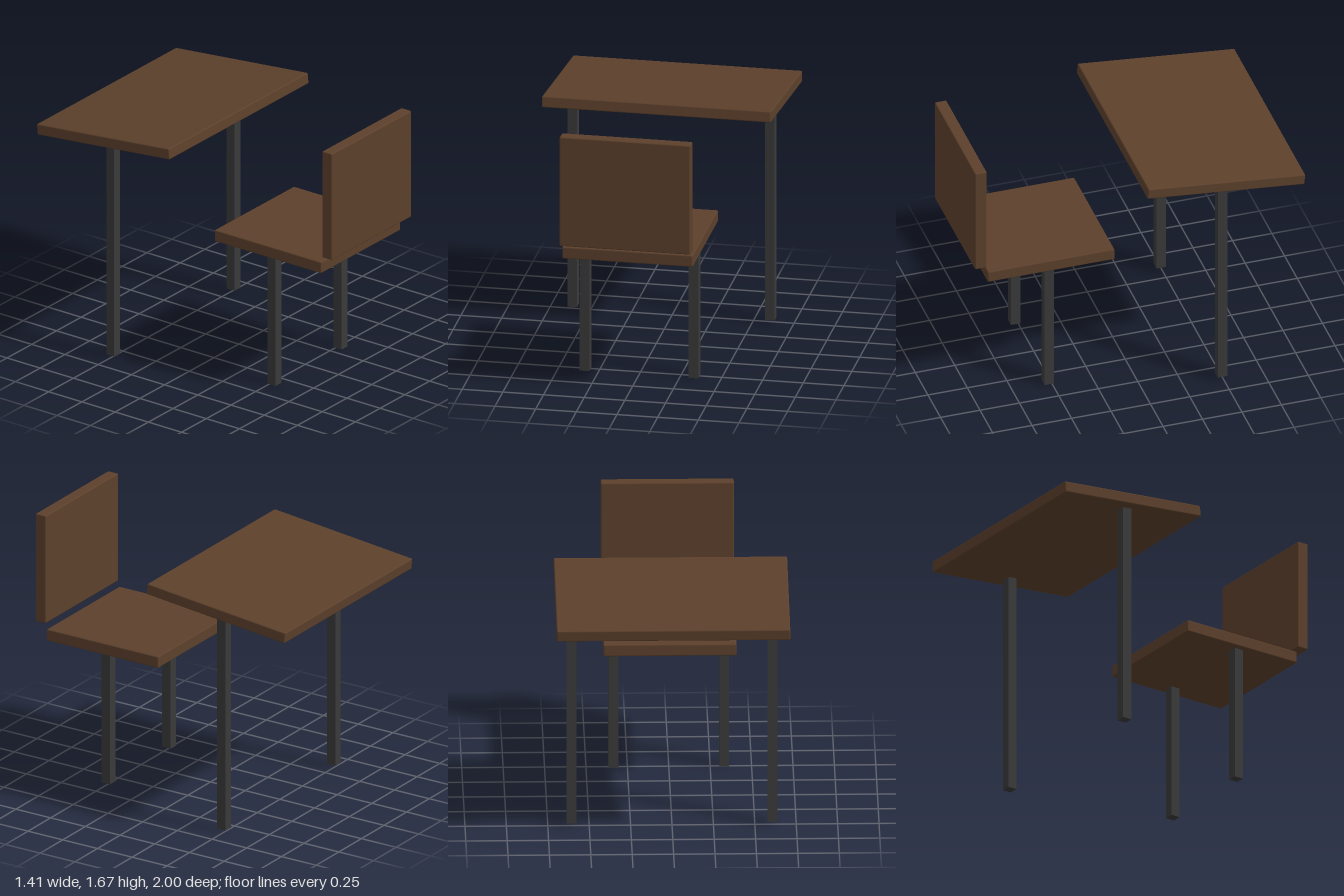
import * as THREE from 'three';
import { RoundedBoxGeometry } from 'three/addons/geometries/RoundedBoxGeometry.js';

export function createModel() {
  const group = new THREE.Group();
  group.name = 'deskAndChair';
  const wood = new THREE.MeshStandardMaterial({ color: 0x5c402b });
  wood.name = 'dark brown wood';
  const metal = new THREE.MeshStandardMaterial({ color: 0x3a3a3a });
  metal.name = 'dark grey metal';

  // Board with slightly eased edges
  function board(parent, name, size, position) {
    const mesh = new THREE.Mesh(new RoundedBoxGeometry(...size, 2, 0.008), wood);
    mesh.name = name;
    mesh.position.set(...position);
    parent.add(mesh);
    return mesh;
  }

  // Mirrored pair of square legs
  function legPair(parent, name, x, z, bottom, top) {
    for (const side of [1, -1]) {
      const mesh = new THREE.Mesh(new THREE.BoxGeometry(0.06, top - bottom, 0.06), metal);
      mesh.name = (side > 0 ? 'left' : 'right') + name;
      mesh.position.set(side * x, (bottom + top) / 2, z);
      parent.add(mesh);
    }
  }

  // Desk: the top slopes down towards the back
  const desk = new THREE.Group();
  desk.name = 'desk';
  const top = board(desk, 'deskTop', [1.41, 0.07, 1.0], [0, 1.457, -0.497]);
  top.rotation.x = -0.1;
  legPair(desk, 'DeskLeg', 0.607, -0.493, 0.022, 1.424);

  // Chair: seat on two legs, with a separate upright back
  const chair = new THREE.Group();
  chair.name = 'chair';
  board(chair, 'seat', [0.804, 0.075, 0.804], [0, 0.893, 0.517]);
  board(chair, 'backrest', [0.804, 0.703, 0.075], [0, 1.316, 0.9625]);
  legPair(chair, 'ChairLeg', 0.335, 0.517, 0, 0.858);

  group.add(desk, chair);
  return group;
}
